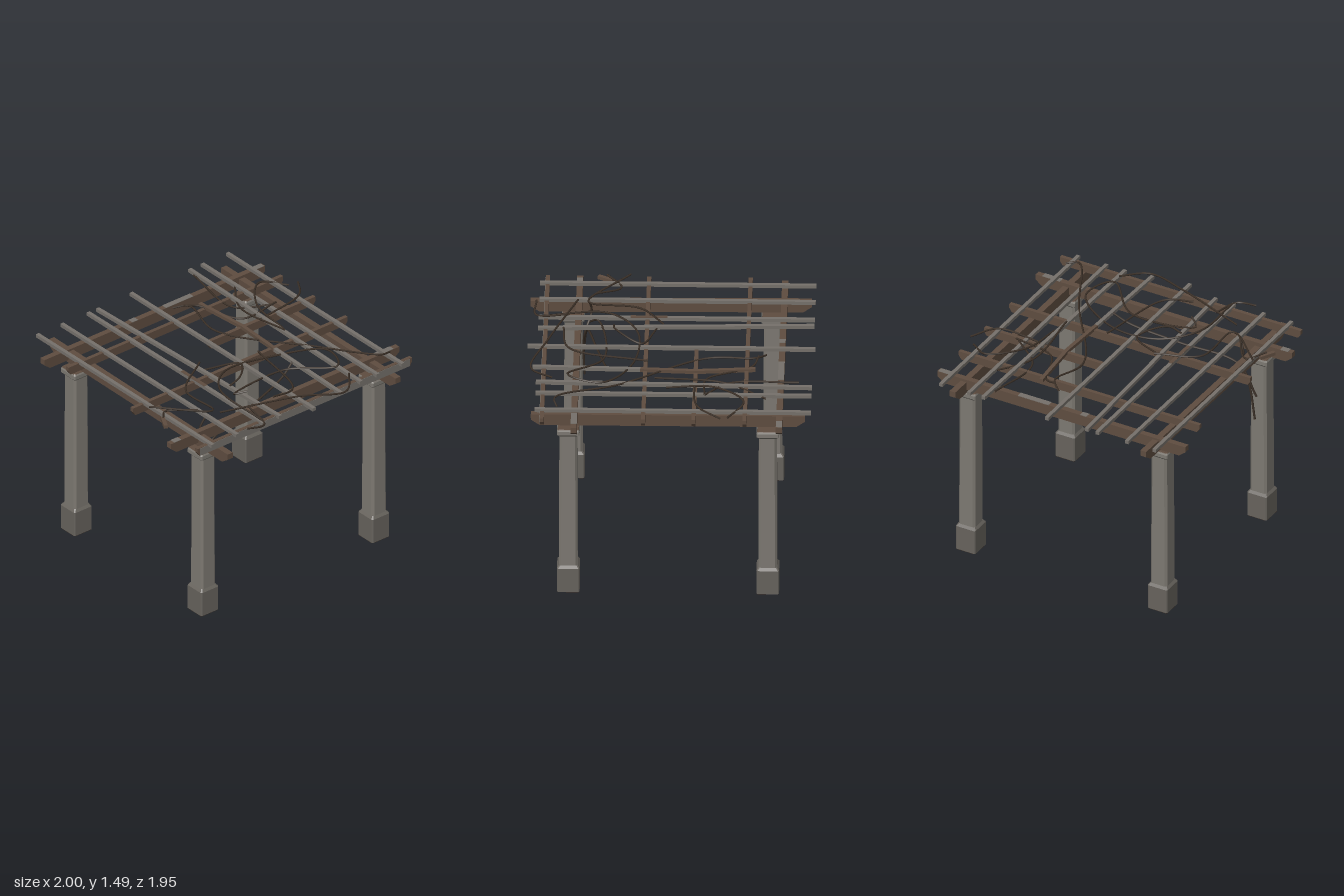
import * as THREE from 'three';

const mat = (name, color) => Object.assign(new THREE.MeshStandardMaterial({ color }), { name });
const stone = mat('stone', 0x7d7972);
const darkStone = mat('weathered stone', 0x67635d);
const brown = mat('brown wood', 0x5f4d40);
const grey = mat('grey wood', 0x76716b);
const bark = mat('vine bark', 0x3c3128);

function add(parent, name, geometry, material) {
  const mesh = new THREE.Mesh(geometry, material);
  mesh.name = name;
  parent.add(mesh);
  return mesh;
}

// Closed solid through square rings with cut corners: [y, half width]
function loft(rings, cut) {
  const pos = [];
  const pts = rings.map(([y, h]) => Array.from({ length: 8 }, (_, i) => {
    const a = Math.PI / 4 + Math.floor(i / 2) * Math.PI / 2;
    const sx = Math.sign(Math.cos(a)), sz = Math.sign(Math.sin(a));
    const cutX = (i % 2 === 1) === (sx === sz);
    return [sx * (cutX ? h - cut : h), y, sz * (cutX ? h : h - cut)];
  }));
  for (let r = 0; r < pts.length - 1; r++) {
    for (let i = 0; i < 8; i++) {
      const j = (i + 1) % 8;
      const a = pts[r][i], b = pts[r][j], c = pts[r + 1][j], d = pts[r + 1][i];
      pos.push(...a, ...d, ...c, ...a, ...c, ...b);
    }
  }
  const bottom = pts[0], top = pts[pts.length - 1];
  for (let i = 1; i < 7; i++) {
    pos.push(...bottom[0], ...bottom[i], ...bottom[i + 1]);
    pos.push(...top[0], ...top[i + 1], ...top[i]);
  }
  const g = new THREE.BufferGeometry();
  g.setAttribute('position', new THREE.Float32BufferAttribute(pos, 3));
  g.computeVertexNormals();
  return g;
}

// Timber along x with the lower corners of both ends cut away
function timber(length, height, width, cut) {
  const l = length / 2, h = height / 2;
  const s = new THREE.Shape();
  s.moveTo(-l + cut, -h);
  s.lineTo(l - cut, -h);
  s.lineTo(l, 0);
  s.lineTo(l, h);
  s.lineTo(-l, h);
  s.lineTo(-l, 0);
  s.closePath();
  return new THREE.ExtrudeGeometry(s, { depth: width, bevelEnabled: false }).translate(0, 0, -width / 2);
}

// Straight square rod between two plan points
function rod(parent, name, x0, z0, x1, z1, material) {
  const m = add(parent, name, new THREE.BoxGeometry(0.027, 0.024, Math.hypot(x1 - x0, z1 - z0)), material);
  m.position.set((x0 + x1) / 2, 1.434, (z0 + z1) / 2);
  m.rotation.y = Math.atan2(x1 - x0, z1 - z0);
}

function vine(parent, name, points, radius) {
  const curve = new THREE.CatmullRomCurve3(points.map(p => new THREE.Vector3(...p)));
  add(parent, name, new THREE.TubeGeometry(curve, points.length * 9, radius, 5), bark);
}

// Vine lying on the roof, rippling up and down along its plan path of x, z pairs
function roofVine(parent, index, ...path) {
  const points = path.map(([x, z], i) => [x, 1.452 + 0.015 * z + 0.022 * Math.sin(i * 1.9 + index * 1.3), z]);
  vine(parent, 'roofVine', points, 0.007);
}

export function createModel() {
  const model = new THREE.Group();
  model.name = 'pergola';

  // Four stone pillars
  for (const x of [-0.735, 0.763]) {
    for (const z of [-0.675, 0.675]) {
      const pillar = new THREE.Group();
      pillar.name = 'pillar';
      pillar.position.set(x, 0, z);
      add(pillar, 'pillarFoot', loft([[0, 0.075], [0.004, 0.077]], 0.008), brown);
      add(pillar, 'pillarBase', loft([[0.004, 0.077], [0.185, 0.077], [0.205, 0.063]], 0.008), darkStone);
      add(pillar, 'pillarShaft', loft([[0.2, 0.064], [1.235, 0.061]], 0.015), stone);
      add(pillar, 'pillarCapital', loft([[1.222, 0.062], [1.238, 0.077], [1.265, 0.077], [1.276, 0.072]], 0.008), stone);
      add(pillar, 'pillarTop', loft([[1.276, 0.072], [1.28, 0.07]], 0.008), brown);
      model.add(pillar);
    }
  }

  // Side beams resting on the pillars, tilted slightly down to the front
  for (const [x, z0, z1, tilt] of [[-0.735, -0.94, 0.965, 0.01], [0.763, -0.925, 0.93, 0.004]]) {
    const beam = add(model, 'sideBeam', timber(z1 - z0, 0.085, 0.045, 0.06), brown);
    beam.position.set(x, 1.332, (z0 + z1) / 2);
    beam.rotation.set(tilt, Math.PI / 2, 0);
  }

  // Cross beams at the back and front, with bleached patches on top
  for (const [z, half, patches] of [
    [-0.753, 0.968, [[0.22, 0.24], [-0.17, 0.05], [0.92, 0.08]]],
    [0.636, 1, [[-0.94, 0.06], [0.88, 0.14]]],
  ]) {
    add(model, 'crossBeam', timber(half * 2, 0.08, 0.042, 0.05), brown).position.set(0, 1.356, z);
    for (const [x, length] of patches) {
      add(model, 'bleachedPatch', new THREE.BoxGeometry(length, 0.004, 0.042), grey).position.set(x, 1.397, z);
    }
  }

  // Purlins, one of them broken off halfway
  for (const [z, x0] of [[-0.52, -0.94], [-0.175, 0.005], [0.167, -0.94], [0.853, -0.94]]) {
    const purlin = add(model, 'purlin', timber(0.94 - x0, 0.06, 0.028, 0.02), brown);
    purlin.position.set((x0 + 0.94) / 2, 1.402, z);
  }
  add(model, 'purlinWeatheredFace', new THREE.BoxGeometry(1.84, 0.056, 0.004), grey).position.set(0, 1.402, 0.868);

  // Roof rods: back x, front x
  for (const [x0, x1] of [[-0.835, -0.835], [-0.62, -0.62], [-0.39, -0.387], [-0.308, -0.243], [0.5, 0.465], [0.61, 0.61], [0.83, 0.83]]) {
    rod(model, 'roofRod', x0, -0.967, x1, 0.903, grey);
  }
  rod(model, 'middleRod', -0.003, -0.98, -0.003, 0.97, grey);
  rod(model, 'brokenRodFront', 0.288, 0.2, 0.268, 0.93, grey);
  rod(model, 'brokenRodMiddle', 0.305, -0.17, 0.288, 0.2, brown);
  rod(model, 'brokenRodBack', 0.27, -0.58, 0.305, -0.17, brown);
  rod(model, 'branchStump', -0.925, 0.51, -0.87, 0.41, brown);
  add(model, 'rodStain', new THREE.BoxGeometry(0.027, 0.004, 0.25), brown).position.set(-0.388, 1.446, 0.155);

  // Vines over the back right corner
  roofVine(model, 0, [0.09, -0.65], [0.17, -0.57], [0.13, -0.25], [0.51, 0.35], [0.75, 0.77], [0.84, 0.75]);
  roofVine(model, 1, [0.14, -0.6], [0.24, -0.56], [0.38, -0.26], [0.66, -0.24]);
  roofVine(model, 2, [0.46, -0.88], [0.43, -0.42], [0.64, -0.24]);
  roofVine(model, 3, [0.64, -0.66], [0.45, -0.37], [0.46, 0.1]);
  roofVine(model, 4, [0.9, -0.4], [0.74, -0.51], [0.54, -0.3], [0.51, 0.02]);
  roofVine(model, 5, [0.95, -0.36], [0.82, -0.2], [0.46, -0.17]);

  // Vines over the front
  roofVine(model, 6, [-0.89, 0.29], [-0.56, 0.57], [-0.52, 0.23], [-0.25, 0.05]);
  roofVine(model, 7, [-0.9, 0.45], [-0.79, 0.35], [-0.65, 0.52]);
  roofVine(model, 8, [-0.25, 0.1], [-0.03, 0.2], [-0.17, 0.38], [-0.27, 0.39]);
  roofVine(model, 9, [-0.38, 0.88], [-0.38, 0.43], [-0.17, 0.23], [0.2, 0.25], [0.52, 0.46], [0.43, 0.69], [0.16, 0.45], [-0.32, 0.5], [-0.25, 0.56]);
  roofVine(model, 10, [-0.56, 0.64], [-0.02, 0.83], [0.3, 0.94], [0.45, 0.79]);
  roofVine(model, 11, [-0.17, 0.73], [0.04, 0.69], [0.18, 0.15]);
  roofVine(model, 12, [-0.55, 0.92], [-0.4, 0.92], [-0.36, 0.7]);

  // Vines climbing behind the front pillar
  vine(model, 'climbingVine', [[-0.72, 0.79, 0.6], [-0.67, 1.06, 0.605], [-0.61, 1.2, 0.59], [-0.66, 1.32, 0.55], [-0.62, 1.44, 0.57]], 0.008);
  vine(model, 'climbingVine', [[-0.73, 0.97, 0.605], [-0.6, 1.21, 0.58], [-0.2, 1.29, 0.5], [0.16, 1.37, 0.43], [0.28, 1.44, 0.4]], 0.008);

  return model;
}
